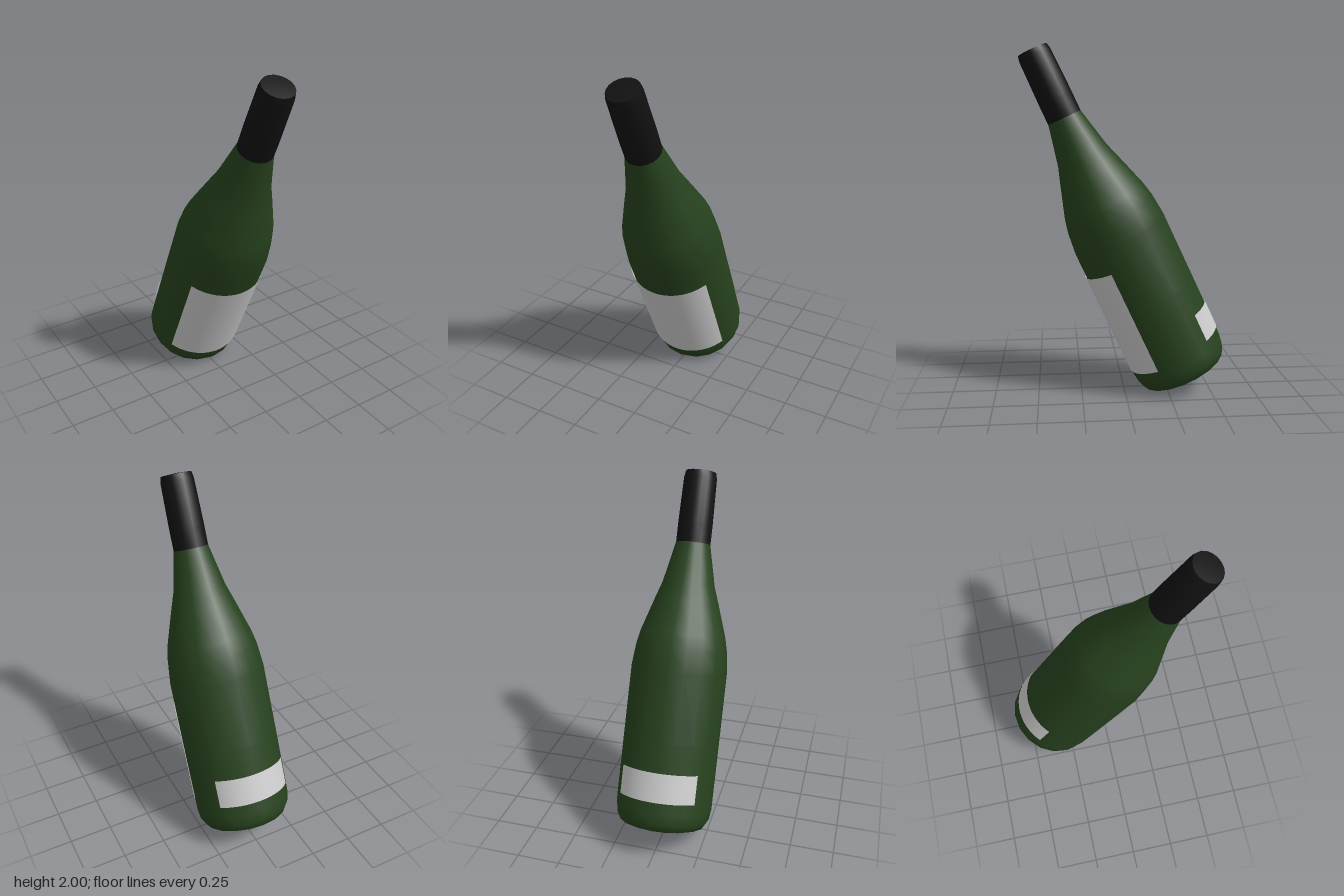
import * as THREE from 'three';
import { toCreasedNormals } from 'three/addons/utils/BufferGeometryUtils.js';

const SIDES = 18;
const TILT = THREE.MathUtils.degToRad(25);

const glass = new THREE.MeshStandardMaterial({ color: 0x26411d });
const foil = new THREE.MeshStandardMaterial({ color: 0x111111 });
const paper = new THREE.MeshStandardMaterial({ color: 0xcccccc, side: THREE.DoubleSide });

function lathe(profile) {
  return new THREE.LatheGeometry(profile.map(([r, y]) => new THREE.Vector2(r, y)), SIDES);
}

function part(name, geometry, material) {
  const mesh = new THREE.Mesh(geometry, material);
  mesh.name = name;
  return mesh;
}

// Curved strip of paper wrapped round the body, centred on the given heading
function label(name, bottom, top, heading, halfAngle) {
  const geometry = new THREE.CylinderGeometry(
    0.286, 0.286, top - bottom, 20, 1, true, heading - halfAngle, halfAngle * 2);
  geometry.translate(0, (top + bottom) / 2, 0);
  return part(name, geometry, paper);
}

export function createModel() {
  const model = new THREE.Group();
  model.name = 'bottle';

  // Glass: hollowed base, straight body, sloping shoulder and neck
  const body = lathe([
    [0, 0.05], [0.08, 0.035], [0.14, -0.01], [0.18, -0.05], [0.215, -0.062],
    [0.25, -0.05], [0.273, -0.008], [0.281, 0.05], [0.281, 0.45], [0.28, 0.85],
    [0.266, 0.98], [0.248, 1.06], [0.186, 1.25], [0.152, 1.35],
    [0.114, 1.52], [0.1, 1.585],
  ]);
  model.add(part('glassBody', body, glass));

  // Foil sleeve over the neck, closed on top
  const sleeve = toCreasedNormals(lathe([
    [0.1, 1.585], [0.1, 1.7], [0.095, 1.96], [0.088, 1.995], [0, 2.0],
  ]), Math.PI / 4);
  model.add(part('foilSleeve', sleeve, foil));

  // Paper labels
  model.add(label('frontLabel', 0.088, 0.707, 0, THREE.MathUtils.degToRad(61)));
  model.add(label('backLabel', 0.117, 0.283, Math.PI, THREE.MathUtils.degToRad(50)));

  // The whole bottle leans forward
  model.rotation.x = TILT;
  model.position.set(0, 0.157, -0.335);

  const root = new THREE.Group();
  root.name = 'leaningBottle';
  root.add(model);
  return root;
}
